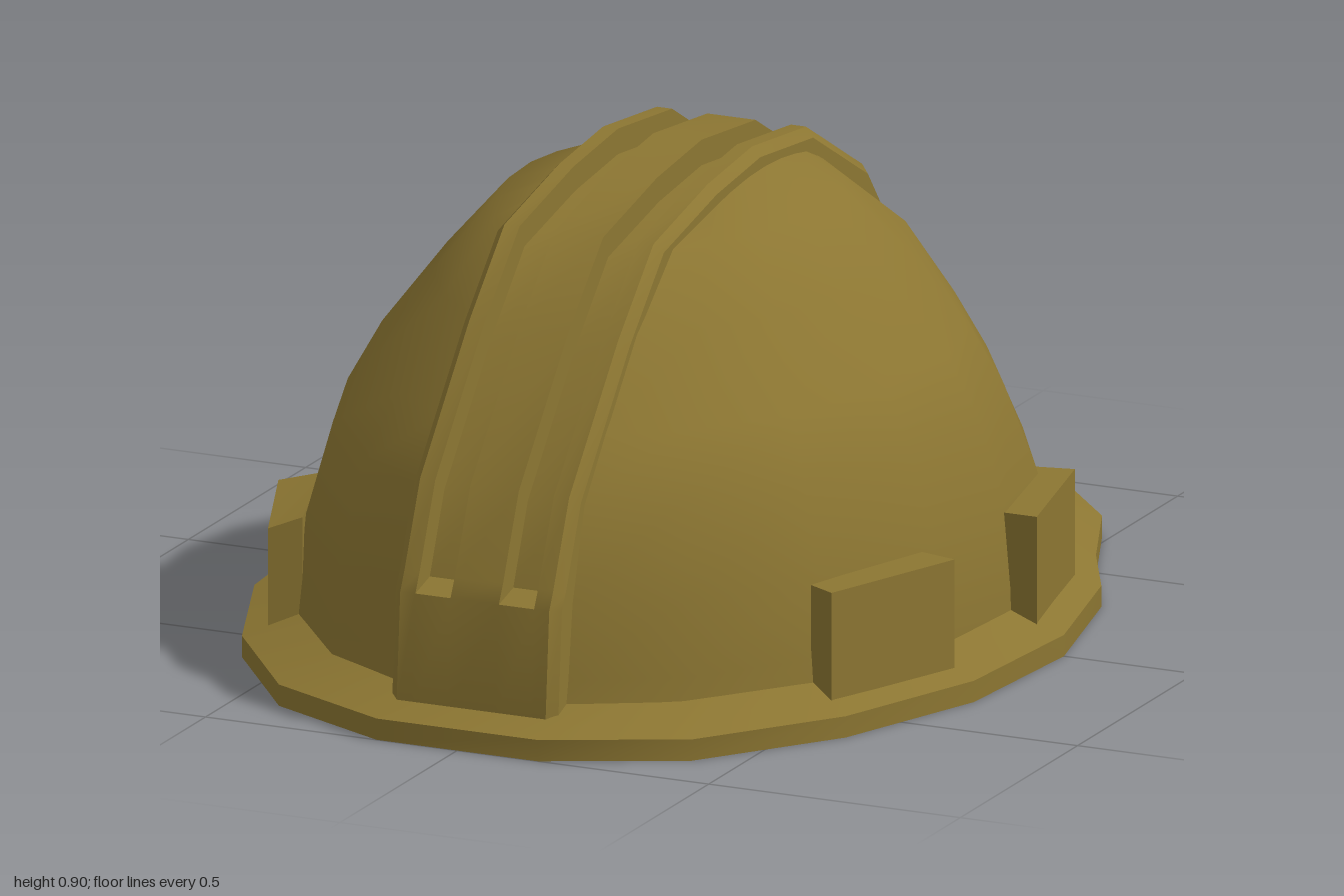
import * as THREE from 'three';
import { toCreasedNormals } from 'three/addons/utils/BufferGeometryUtils.js';

// Plan angles from the front centre (+z) round one side to the back
const HALF = [14.5, 33, 54, 75, 94, 113, 125, 137, 150, 165, 180];
// Matching brim outline, half of it, as [x, z]
const BRIM = [[0.16, 1], [0.41, 0.88], [0.6, 0.63], [0.715, 0.33], [0.74, 0], [0.67, -0.31],
  [0.58, -0.48], [0.485, -0.71], [0.33, -0.88], [0.16, -0.975], [0, -1]];
// Dome levels: y, half width, then front and back z where the dome meets the ridge
const LEVELS = [[0.06, 0.645, 0.9, -0.78], [0.12, 0.643, 0.888, -0.745], [0.26, 0.63, 0.87, -0.67],
  [0.43, 0.58, 0.82, -0.56], [0.54, 0.52, 0.73, -0.49], [0.69, 0.405, 0.6, -0.394],
  [0.81, 0.3, 0.45, -0.21]];
const MID = 0.06, SLOT = 0.15, RAD = Math.PI / 180;

// Turns half a loop into a whole one by mirroring in x
const mirrorLoop = (half) => [...half, ...half.slice(0, -1).reverse().map(([x, y, z]) => [-x, y, z])];

// Joins cross-sections of equal length into a surface
function skin(rings, closed) {
  const n = rings[0].length, index = [];
  for (let k = 0; k < rings.length - 1; k++) {
    for (let i = 0; i < (closed ? n : n - 1); i++) {
      const j = (i + 1) % n, a = k * n, b = a + n;
      index.push(a + i, a + j, b + j, a + i, b + j, b + i);
    }
  }
  const g = new THREE.BufferGeometry();
  g.setAttribute('position', new THREE.Float32BufferAttribute(rings.flat(2), 3));
  g.setIndex(index);
  g.computeVertexNormals();
  return g;
}

// Point on an oval made of two half ellipses
function ovalPoint([y, w, front, back], degrees) {
  const c = Math.cos(degrees * RAD);
  return [w * Math.sin(degrees * RAD), y, MID + c * (c > 0 ? front - MID : MID - back)];
}

// Angle at which a level reaches the ridge, and its oval carried on to x = 0
const slotAngle = (w) => Math.asin(SLOT / w) / RAD;
function fullOval([y, w, front, back]) {
  const c = Math.cos(slotAngle(w) * RAD);
  return [y, w, MID + (front - MID) / c, MID + (back - MID) / c];
}

// One half of the dome, from the ridge in front to the ridge behind
function domeHalf(side) {
  const angles = [33, 54, 75, 94, 113, 137, 160];
  const rings = LEVELS.map((level) => {
    const a0 = slotAngle(level[1]), t = (a) => a0 + (a - 14) / 152 * (180 - 2 * a0);
    return [a0, ...angles.map((a) => (level[1] > 0.5 ? a : t(a))), 180 - a0]
      .map((a) => ovalPoint(fullOval(level), a));
  });
  rings.push([0, ...angles, 180].map((a) => {
    const c = Math.cos(a * RAD);
    return [SLOT, 0.865 - 0.022 * c * c, 0.05 + 0.2 * c];
  }));
  return skin(rings.map((r) => (side > 0 ? r : r.map(([x, y, z]) => [-x, y, z]).reverse())), false);
}

// Central ridge with two sunken grooves, swept from front to back
function ridgeGeometry() {
  const path = [[0.941, 0.05], [0.925, 0.26], [0.907, 0.295], [0.84, 0.45], [0.63, 0.69], [0.48, 0.83],
    [0.25, 0.88], [0.06, 0.9], [-0.17, 0.875], [-0.41, 0.74], [-0.64, 0.45], [-0.727, 0.295],
    [-0.745, 0.26], [-0.845, 0.075]];
  const last = path.length - 1;
  const rings = path.map(([z, y], i) => {
    const p = path[Math.max(0, i - 1)], q = path[Math.min(last, i + 1)];
    const dz = q[0] - p[0], dy = q[1] - p[1], len = Math.hypot(dz, dy);
    const d = i > 1 && i < last - 1 ? 0.048 : 0;
    const half = [[0.165, 0.08], [0.165, 0.018], [0.148, 0], [0.118, 0], [0.118, d], [0.048, d], [0.048, 0]];
    const section = [...half.map(([x, h]) => [-x, h]), ...half.reverse()];
    return section.map(([x, h]) => [x, y + dz / len * h, z - dy / len * h]);
  });
  return toCreasedNormals(skin(rings, false), 0.7);
}

// Side lug: a box whose corners are moved to a slanted plan
function lugGeometry(side, plan, outerTop) {
  const g = new THREE.BoxGeometry(1, 1, 1), p = g.attributes.position;
  for (let i = 0; i < p.count; i++) {
    const outer = p.getX(i) * side > 0, front = p.getZ(i) > 0;
    const [x, z] = plan[(outer ? 0 : 2) + (front ? 0 : 1)];
    p.setXYZ(i, side * x, p.getY(i) < 0 ? 0.055 : outer ? outerTop : 0.26, z);
  }
  g.computeVertexNormals();
  return g;
}

export function createModel() {
  const model = new THREE.Group();
  model.name = 'hardHat';
  const shellMaterial = new THREE.MeshStandardMaterial({ color: 0x8c7632 });
  shellMaterial.name = 'mustard shell';
  const add = (name, geometry) => {
    const mesh = new THREE.Mesh(geometry, shellMaterial);
    mesh.name = name;
    model.add(mesh);
  };

  // Hollow inside, closed at the top
  const hollow = LEVELS.map(([y, w, f, b], i) =>
    [(y - 0.06) * 1.03, w - 0.04, f - (i ? 0.04 : 0.02), b + (i ? 0.045 : 0.08)]);
  hollow.push([0.81, 0.13, 0.2, -0.09], [0.82, 0.001, 0.061, 0.059]);
  const inner = hollow.map((level) => mirrorLoop(HALF.map((a) => ovalPoint(level, a))));
  add('innerShell', skin([...inner].reverse(), true));

  // Brim: flat underside, upright edge, sloping top that rises at the peak
  const rim = (y) => mirrorLoop(BRIM.map(([x, z]) => [x, y, z]));
  const seam = mirrorLoop(HALF.map((a) => {
    const z = ovalPoint(LEVELS[0], a)[2];
    const rise = THREE.MathUtils.clamp((-0.25 - z) / 0.45, 0, 1);
    const level = LEVELS[0].map((v, i) => THREE.MathUtils.lerp(v, LEVELS[1][i], 0.33 + rise * 0.67));
    const p = ovalPoint(fullOval(level), a);
    return [p[0] * 0.975, p[1] + 0.005, MID + (p[2] - MID) * 0.975];
  }));
  add('brim', toCreasedNormals(skin([inner[0], rim(0), rim(0.04), seam], true), 0.7));

  add('ridge', ridgeGeometry());

  // Dome halves and two lugs on each side; lug corners run outer front, outer back, inner front, inner back
  const frontPlan = [[0.56, 0.605], [0.672, 0.32], [0.505, 0.575], [0.59, 0.3]];
  const rearPlan = [[0.693, 0.015], [0.628, -0.287], [0.61, 0.015], [0.55, -0.27]];
  for (const side of [1, -1]) {
    const label = side > 0 ? 'left' : 'right', top = side > 0 ? 0.26 : 0.24;
    add(label + 'Dome', domeHalf(side));
    add(label + 'FrontLug', lugGeometry(side, frontPlan, top));
    add(label + 'RearLug', lugGeometry(side, rearPlan, top));
  }
  return model;
}
